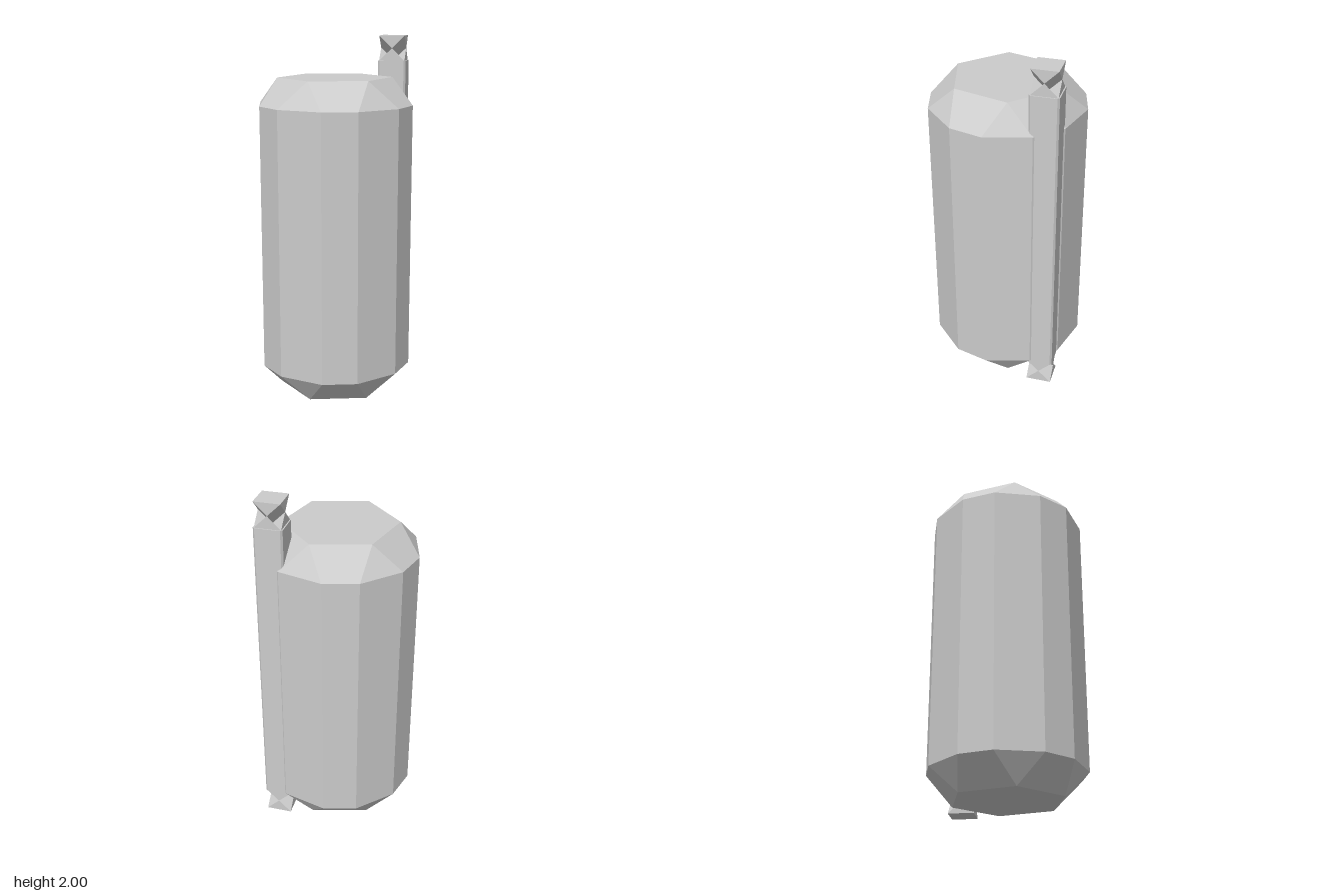
import * as THREE from 'three';

const grey = { color: 0xcccccc, flatShading: true };

// Point on a circle around the vertical axis, angle in degrees
const polar = (r, deg, y) => {
  const a = THREE.MathUtils.degToRad(deg);
  return [r * Math.cos(a), y, r * Math.sin(a)];
};

// Mesh from polygons, each split into a fan of triangles
function polyMesh(name, polygons, side = THREE.FrontSide) {
  const pos = [];
  for (const p of polygons) {
    for (let i = 1; i < p.length - 1; i++) pos.push(...p[0], ...p[i], ...p[i + 1]);
  }
  const geo = new THREE.BufferGeometry();
  geo.setAttribute('position', new THREE.Float32BufferAttribute(pos, 3));
  geo.computeVertexNormals();
  const mesh = new THREE.Mesh(geo, new THREE.MeshStandardMaterial({ ...grey, side }));
  mesh.name = name;
  return mesh;
}

// Angles of paired corners, half an opening to each side of every main corner
const pairs = (n, start, half) =>
  Array.from({ length: n }, (_, i) => start + (i * 360) / n).flatMap((a) => [a - half, a + half]);

// Straight walls between two heights
const walls = (angles, r, y0, y1) =>
  angles.map((a, i) => {
    const b = angles[(i + 1) % angles.length];
    return [polar(r, a, y0), polar(r, a, y1), polar(r, b, y1), polar(r, b, y0)];
  });

// Twelve-sided tank whose bevels close to a hexagon at both ends
function makeTank() {
  const R = 0.435, capR = 0.318, half = 17.2;
  const polys = walls(pairs(6, 30, half), R, 0.15, 1.635);
  for (const [ringY, capY, up] of [[1.635, 1.78, true], [0.15, 0, false]]) {
    const end = [[]];
    for (let i = 0; i < 6; i++) {
      const a = 30 + i * 60, b = a + 60;
      end[0].unshift(polar(capR, a, capY));
      end.push([polar(R, a - half, ringY), polar(capR, a, capY), polar(R, a + half, ringY)]);
      end.push([polar(R, a + half, ringY), polar(capR, a, capY),
        polar(capR, b, capY), polar(R, b - half, ringY)]);
    }
    polys.push(...(up ? end : end.map((p) => p.reverse())));
  }
  return polyMesh('tank', polys);
}

// Diamond-section post with slim chamfered corners
function makePost(r, y0, y1) {
  const angles = pairs(4, 0, 4);
  const top = angles.map((a) => polar(r, a, y1)).reverse();
  const bottom = angles.map((a) => polar(r, a, y0));
  return polyMesh('post', [...walls(angles, r, y0, y1), top, bottom]);
}

// Pinched end of the post: flat plate joined to the shaft by crossing triangles
function makePinchedEnd(name, r, shaftY, plateY) {
  const polys = [[0, 90, 180, 270].map((a) => polar(r, a, plateY))];
  const midY = (shaftY + plateY) / 2;
  for (let a = 0; a < 360; a += 90) {
    const waist = polar(r * Math.SQRT1_2, a + 45, midY);
    // dent reaching inwards below each plate corner
    polys.push([polar(r, a, plateY), polar(r, a - 90, shaftY), polar(r, a + 90, shaftY)]);
    // flat side triangles meeting at the waist
    polys.push([polar(r, a, plateY), polar(r, a + 90, plateY), waist]);
    polys.push([polar(r, a, shaftY), waist, polar(r, a + 90, shaftY)]);
  }
  return polyMesh(name, polys, THREE.DoubleSide);
}

export function createModel() {
  const model = new THREE.Group();
  model.name = 'tankWithPost';

  const tank = makeTank();
  tank.position.x = -0.04;
  model.add(tank);

  const pipe = new THREE.Group();
  pipe.name = 'sidePipe';
  pipe.position.x = 0.36;
  pipe.add(
    makePost(0.104, 0.14, 1.86),
    makePinchedEnd('topEnd', 0.102, 1.86, 2),
    makePinchedEnd('bottomEnd', 0.102, 0.14, 0),
  );
  model.add(pipe);
  return model;
}
